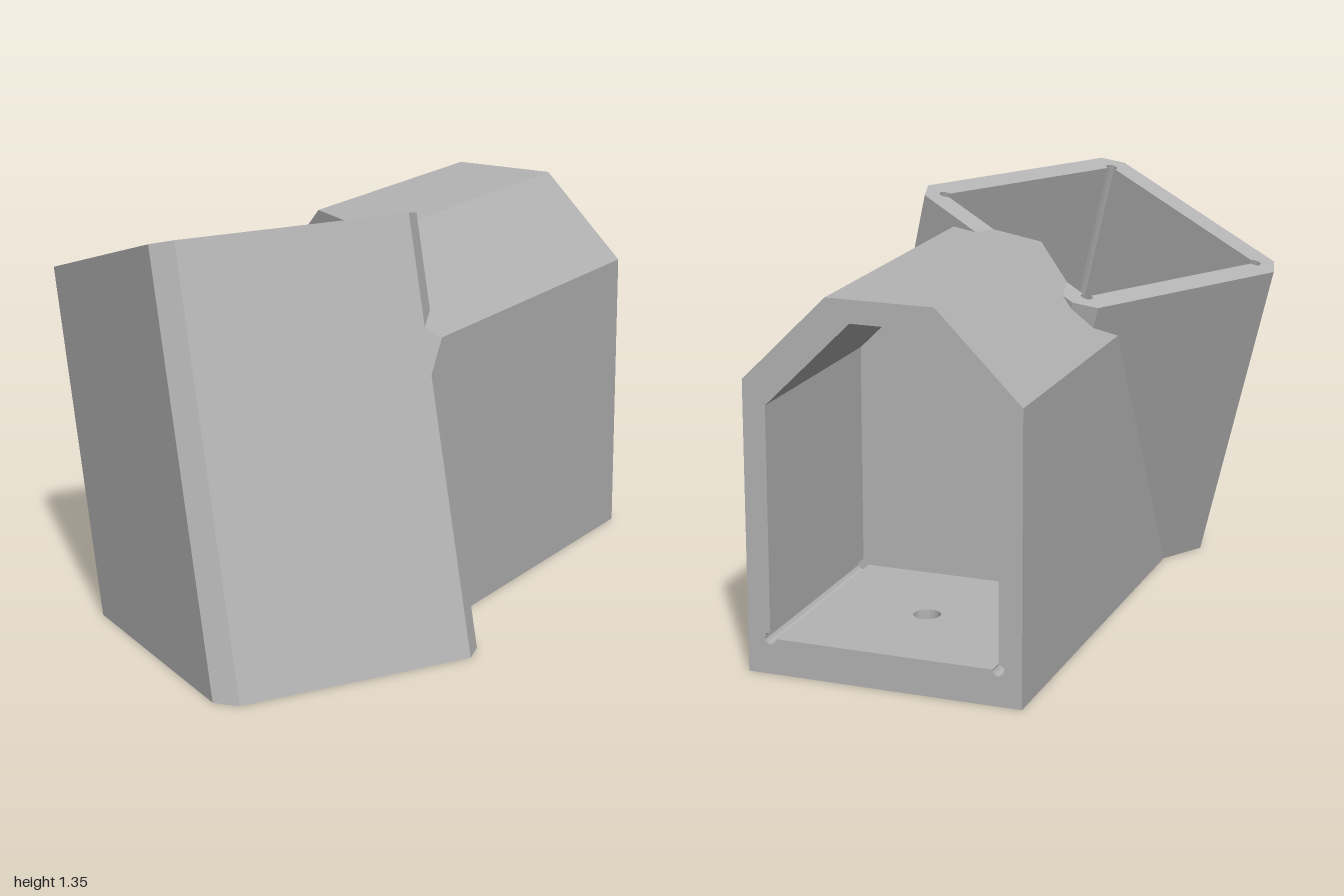
import * as THREE from 'three';

const EPS = 1e-5;

// Convex prism as outward half-spaces: profile (counter-clockwise) swept along local z
function prism(profile, frame, z0, z1) {
  const planes = profile.map(([x, y], i) => {
    const [x2, y2] = profile[(i + 1) % profile.length];
    const n = new THREE.Vector3(y2 - y, x - x2, 0).normalize();
    return new THREE.Plane().setFromNormalAndCoplanarPoint(n, new THREE.Vector3(x, y, 0));
  });
  planes.push(new THREE.Plane(new THREE.Vector3(0, 0, 1), -z1));
  planes.push(new THREE.Plane(new THREE.Vector3(0, 0, -1), z0));
  return planes.map((p) => p.applyMatrix4(frame));
}

const circle = (r, n, cx = 0, cy = 0) => Array.from({ length: n }, (_, i) => {
  const a = ((i + 0.5) / n) * Math.PI * 2;
  return [cx + r * Math.cos(a), cy + r * Math.sin(a)];
});

// Split a polygon by a plane into [inside, outside]; null where empty
function split(poly, plane, coplanarOutside) {
  const d = poly.map((p) => plane.distanceToPoint(p));
  const hi = d.some((v) => v > EPS), lo = d.some((v) => v < -EPS);
  if (!hi && !lo) return coplanarOutside ? [null, poly] : [poly, null];
  if (!hi) return [poly, null];
  if (!lo) return [null, poly];
  const inside = [], outside = [];
  poly.forEach((p, i) => {
    const j = (i + 1) % poly.length;
    if (d[i] <= EPS) inside.push(p);
    if (d[i] >= -EPS) outside.push(p);
    if ((d[i] > EPS && d[j] < -EPS) || (d[i] < -EPS && d[j] > EPS)) {
      const c = p.clone().lerp(poly[j], d[i] / (d[i] - d[j]));
      inside.push(c);
      outside.push(c);
    }
  });
  return [inside, outside];
}

function clip(poly, planes) {
  for (const p of planes) {
    poly = split(poly, p, false)[0];
    if (!poly) return [];
  }
  return [poly];
}

// Parts of a polygon outside a convex solid
function subtract(poly, planes, coplanarOutside) {
  const out = [];
  let rest = poly;
  for (const p of planes) {
    const [a, b] = split(rest, p, coplanarOutside);
    if (b) out.push(b);
    rest = a;
    if (!rest) return [poly];
  }
  return out;
}

// Faces of a convex solid: a large square on each plane cut by all the others
function facesOf(planes) {
  return planes.flatMap((plane) => {
    const n = plane.normal, c = n.clone().multiplyScalar(-plane.constant);
    const u = new THREE.Vector3(0, 1, 0);
    if (Math.abs(n.y) > 0.8) u.set(1, 0, 0);
    u.cross(n).normalize().multiplyScalar(6);
    const v = n.clone().cross(u);
    const quad = [[-1, -1], [1, -1], [1, 1], [-1, 1]].map(([a, b]) =>
      c.clone().addScaledVector(u, a).addScaledVector(v, b));
    return clip(quad, planes.filter((p) => p !== plane));
  });
}

function meshOf(polys, material, name) {
  const pos = [];
  for (const p of polys) {
    for (let i = 1; i < p.length - 1; i++) {
      for (const q of [p[0], p[i], p[i + 1]]) pos.push(q.x, q.y, q.z);
    }
  }
  const g = new THREE.BufferGeometry();
  g.setAttribute('position', new THREE.Float32BufferAttribute(pos, 3));
  g.computeVertexNormals();
  const mesh = new THREE.Mesh(g, material);
  mesh.name = name;
  return mesh;
}

export function createModel() {
  const group = new THREE.Group();
  group.name = 'angledSocketJoint';
  const grey = new THREE.MeshStandardMaterial({ color: 0xb4b4b4 });
  grey.name = 'grey';

  const R = 0.462, C = 0.402, IN = 0.385, GROOVE = 0.02;

  // Leaning socket: origin at the centre of its mouth, local z along its axis
  const tilt = Math.atan(0.3);
  const leanFrame = new THREE.Matrix4().makeRotationX(-(Math.PI / 2 + tilt))
    .setPosition(-0.538, 1.2165, 0.005);
  const chamferedSquare = [[R, -C], [R, C], [C, R], [-C, R], [-R, C], [-R, -C], [-C, -R], [C, -R]];
  const leaning = prism(chamferedSquare, leanFrame, -2, 0);
  const frontPlane = leaning.find((p) => p.normal.z > 0.9);
  leaning.push(new THREE.Plane(new THREE.Vector3(0, -1, 0), 0));

  // Level socket: origin on the ground below its mouth, trimmed flush with the leaning front
  const levelFrame = new THREE.Matrix4().makeRotationY(Math.PI * 2 / 3).setPosition(0.7675, 0, -0.46);
  const house = [[-R, 0], [R, 0], [R, 0.965], [0.178, 1.249], [-0.178, 1.249], [-R, 0.965]];
  const level = prism(house, levelFrame, -1.54, 0);
  level.push(frontPlane);

  // Blind cavities
  const square = [[-IN, -IN], [IN, -IN], [IN, IN], [-IN, IN]];
  const leanCavity = prism(square, leanFrame, -1.03, 0.5);
  const houseHole = [[-IN, 0.12], [IN, 0.12], [IN, 0.888], [0.098, 1.174], [-0.098, 1.174], [-IN, 0.888]];
  const levelCavity = prism(houseHole, levelFrame, -0.75, 0.2);

  // Corner relief grooves
  const leanGrooves = square.map(([x, y]) => prism(circle(GROOVE, 10, x, y), leanFrame, -1.03, 0.5));
  const levelGrooves = [-IN, IN].map((x) => prism(circle(GROOVE, 10, x, 0.12), levelFrame, -0.75, 0.2));

  // Countersunk screw hole through the floor of the level socket
  const screwFrame = new THREE.Matrix4().makeRotationX(-Math.PI / 2).setPosition(0.443, 0, -0.272);
  const screwHole = prism(circle(0.045, 24), screwFrame, -0.2, 0.16);
  const countersink = circle(1, 24).map(([x, z]) => new THREE.Plane().setFromNormalAndCoplanarPoint(
    new THREE.Vector3(x, 1, z).normalize(),
    new THREE.Vector3(0.443 + 0.083 * x, 0, -0.272 + 0.083 * z)));
  countersink.push(new THREE.Plane(new THREE.Vector3(0, -1, 0), -0.1));
  countersink.push(new THREE.Plane(new THREE.Vector3(0, 1, 0), -0.045));

  const solids = [['leaningSocket', leaning], ['levelSocket', level]];
  const cuts = [
    ['leaningCavity', leanCavity], ['levelCavity', levelCavity],
    ...leanGrooves.map((g) => ['leaningCornerGroove', g]),
    ...levelGrooves.map((g) => ['levelCornerGroove', g]),
    ['screwHole', screwHole], ['countersink', countersink],
  ];

  // Outer skins: what lies outside the other solid and every cut
  solids.forEach(([name, planes], i) => {
    let polys = facesOf(planes);
    solids.forEach(([, other], k) => {
      if (k !== i) polys = polys.flatMap((p) => subtract(p, other, k > i));
    });
    for (const [, cut] of cuts) polys = polys.flatMap((p) => subtract(p, cut, false));
    group.add(meshOf(polys, grey, name));
  });

  // Inner skins: cut faces that lie within the solids, turned inward
  cuts.forEach(([name, planes], j) => {
    let polys = facesOf(planes).flatMap((p) => [
      ...clip(p, leaning),
      ...subtract(p, leaning, false).flatMap((q) => clip(q, level)),
    ]);
    cuts.forEach(([, other], k) => {
      if (k !== j) polys = polys.flatMap((p) => subtract(p, other, k > j));
    });
    group.add(meshOf(polys.map((p) => [...p].reverse()), grey, name));
  });

  return group;
}
